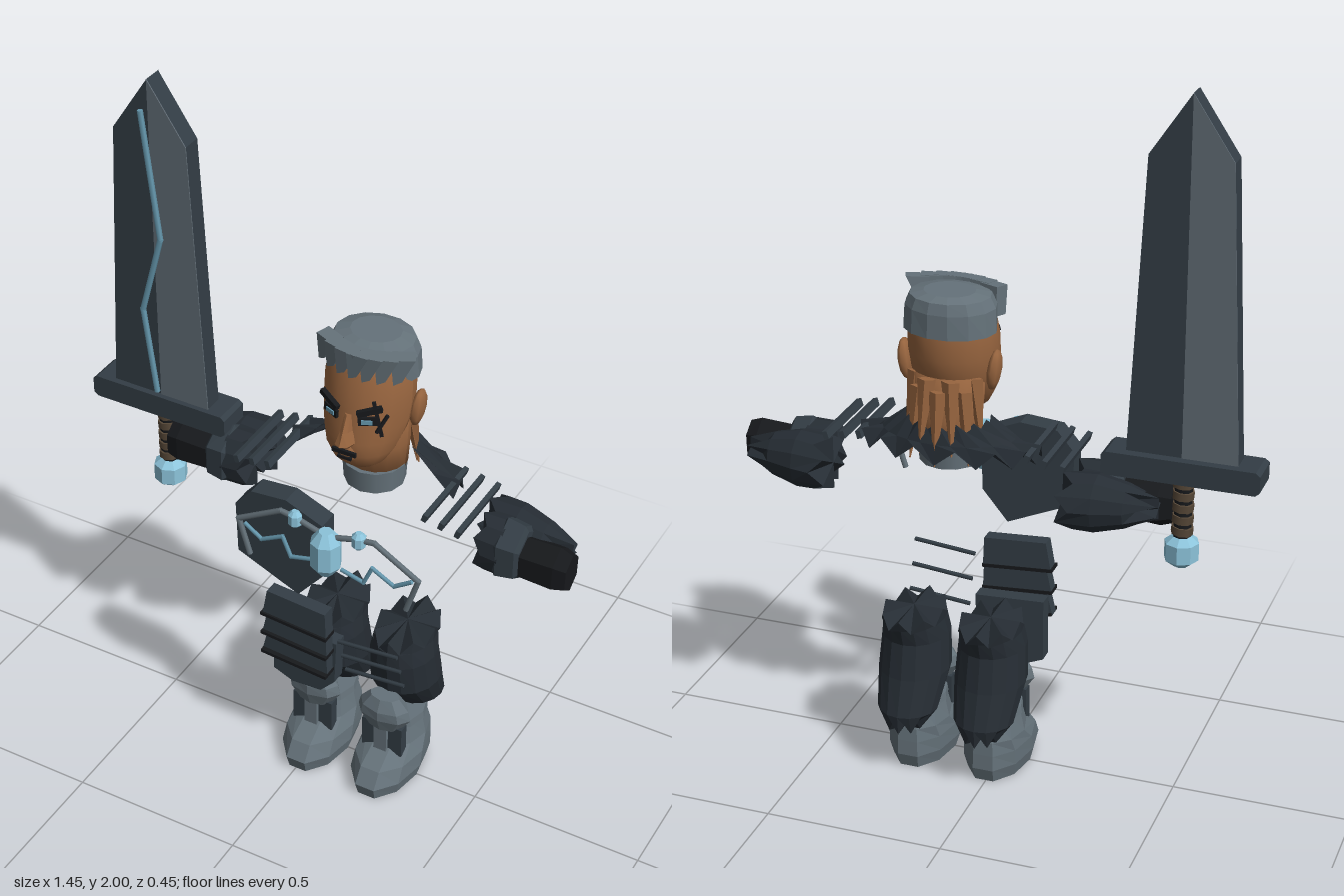
import * as THREE from 'three';

const mat = (name, color, side = THREE.FrontSide) => {
  const m = new THREE.MeshStandardMaterial({ color, side });
  m.name = name;
  return m;
};
const MID = 0.117; // body axis: the sword arm shifts the figure off centre

// Stack of elliptical rings [y, cx, cz, rx, rz, jag], listed bottom to top
function loft(rings, n = 8, { smooth = false, caps = true, from = 0, arc = Math.PI * 2 } = {}) {
  const pos = [], idx = [], w = n + 1;
  rings.forEach(([y, cx, cz, rx, rz, jag = 0]) => {
    for (let j = 0; j <= n; j++) {
      const k = arc > 6.28 ? j % n : j, a = from + arc * k / n;
      pos.push(cx + rx * Math.cos(a), y + (k % 2 ? jag : 0), cz + rz * Math.sin(a));
    }
  });
  for (let i = 0; i < rings.length - 1; i++) {
    for (let j = 0; j < n; j++) {
      const a = i * w + j, d = a + w;
      idx.push(a, d, d + 1, a, d + 1, a + 1);
    }
  }
  if (caps) {
    [[0, 0], [rings.length - 1, 1]].forEach(([i, top]) => {
      const c = pos.length / 3;
      pos.push(rings[i][1], rings[i][0], rings[i][2]);
      for (let j = 0; j < n; j++) {
        const a = i * w + j;
        if (top) idx.push(c, a + 1, a); else idx.push(c, a, a + 1);
      }
    });
  }
  let g = new THREE.BufferGeometry();
  g.setAttribute('position', new THREE.Float32BufferAttribute(pos, 3));
  g.setIndex(idx);
  if (!smooth) g = g.toNonIndexed();
  g.computeVertexNormals();
  return g;
}

function plate(points, z0, z1) {
  const g = new THREE.ExtrudeGeometry(new THREE.Shape(points.map(p => new THREE.Vector2(...p))),
    { depth: z1 - z0, bevelEnabled: false });
  return g.translate(0, 0, z0);
}

export function createModel() {
  const root = new THREE.Group();
  root.name = 'armouredWarrior';
  const cloth = mat('dark cloth', 0x262d34, THREE.DoubleSide);
  const plateDark = mat('dark plate', 0x333d45);
  const steel = mat('grey steel', 0x65727a);
  const bladeLight = mat('light blade face', 0x606b74);
  const skin = mat('skin', 0x98653f);
  const crystal = mat('blue crystal', 0x8cc3da);
  const trim = mat('blue trim', 0x6698ae);
  const black = mat('black', 0x17191c);
  const wrap = mat('brown grip', 0x574838);

  const add = (name, geo, m, x = 0, y = 0, z = 0, rx = 0, ry = 0, rz = 0) => {
    const o = new THREE.Mesh(geo, m);
    o.name = name;
    o.position.set(x, y, z);
    o.rotation.set(rx, ry, rz);
    root.add(o);
    return o;
  };
  const box = (w, h, d) => new THREE.BoxGeometry(w, h, d);
  const rods = (name, pts, r, m) => {
    for (let i = 0; i < pts.length - 1; i++) {
      const a = new THREE.Vector3(...pts[i]), b = new THREE.Vector3(...pts[i + 1]);
      const o = add(name, new THREE.CylinderGeometry(r, r, a.distanceTo(b) + r, 6), m);
      o.position.copy(a).lerp(b, 0.5);
      o.quaternion.setFromUnitVectors(new THREE.Vector3(0, 1, 0), b.sub(a).normalize());
    }
  };
  const gem = (name, x, y, z, r, h) => add(name, loft([[-h, 0, 0, r * 0.45, r * 0.45],
    [-h * 0.55, 0, 0, r, r], [h * 0.55, 0, 0, r, r], [h, 0, 0, r * 0.45, r * 0.45]]), crystal, x, y, z);

  // Sword: two blade halves, with a light face on opposite sides
  const SX = -0.513, SZ = -0.045;
  const half = s => [[SX, 1.03], [SX + s * 0.15, 1.03], [SX + s * 0.11, 1.835], [SX, 2]];
  add('bladeRight', plate(half(-1), -0.072, -0.018), plateDark);
  add('bladeLeft', plate(half(1), -0.072, -0.018), plateDark);
  add('bladeFrontFace', plate(half(1), -0.018, -0.015), bladeLight);
  add('bladeBackFace', plate(half(-1), -0.075, -0.072), bladeLight);
  rods('bladeRune', [[-0.523, 1.915, 0.003], [-0.48, 1.55, 0.003], [-0.545, 1.315, 0.003],
    [-0.513, 1.06, 0.003]], 0.008, trim);
  add('swordGuard', plate([[-0.727, 0.98], [-0.715, 0.97], [-0.315, 0.97], [-0.303, 0.98],
    [-0.303, 1.025], [-0.315, 1.035], [-0.715, 1.035], [-0.727, 1.025]], -0.1, 0), plateDark);
  add('swordGrip', new THREE.CylinderGeometry(0.025, 0.025, 0.18, 8), black, SX, 0.885, SZ);
  for (let i = 0; i < 5; i++) {
    add('gripBand', new THREE.CylinderGeometry(0.03, 0.03, 0.022, 8), wrap, SX, 0.82 + i * 0.034, SZ, 0, 0, 0.1);
  }
  gem('swordPommel', SX, 0.76, SZ, 0.047, 0.045);

  // Head and neck
  const ring = (y, hw, zf, zb, jag) => [y, MID, (zf + zb) / 2, hw, (zf - zb) / 2, jag];
  add('head', loft([ring(1.065, 0.05, 0.045, -0.03), ring(1.085, 0.075, 0.065, -0.06),
    ring(1.12, 0.095, 0.08, -0.1), ring(1.16, 0.108, 0.08, -0.14), ring(1.2, 0.118, 0.074, -0.16),
    ring(1.25, 0.122, 0.068, -0.17), ring(1.3, 0.122, 0.06, -0.17), ring(1.35, 0.115, 0.045, -0.165),
    ring(1.39, 0.1, 0.03, -0.15)], 20, { smooth: true }), skin);
  add('neck', loft([ring(1.0, 0.085, -0.01, -0.175), ring(1.08, 0.09, -0.012, -0.178),
    ring(1.2, 0.1, 0, -0.168)], 16, { smooth: true }), skin);
  add('nose', loft([ring(1.148, 0.014, 0.09, 0.05), ring(1.166, 0.026, 0.116, 0.04),
    ring(1.2, 0.016, 0.098, 0.04), ring(1.245, 0.012, 0.075, 0.04)], 8), skin);
  add('lips', loft([ring(1.11, 0.03, 0.084, 0.03), ring(1.13, 0.035, 0.089, 0.03),
    ring(1.15, 0.03, 0.082, 0.03)], 10), skin);
  add('mouth', box(0.07, 0.012, 0.008), black, MID, 1.136, 0.088);
  add('chinShadow', box(0.04, 0.008, 0.008), black, MID, 1.117, 0.085);
  for (const s of [-1, 1]) {
    add('ear', new THREE.SphereGeometry(1, 8, 6).scale(0.018, 0.058, 0.035), skin,
      MID + s * 0.124, 1.215, -0.085, 0, 0, -s * 0.12);
    add('brow', box(0.068, 0.015, 0.014), black, MID + s * 0.058, 1.267, 0.06, 0, s * 0.4, s * 0.32);
    add('eyeSocket', box(0.05, 0.024, 0.008), black, MID + s * 0.053, 1.236, 0.061, 0, s * 0.4, s * 0.1);
    add('eye', box(0.03, 0.012, 0.008), trim, MID + s * 0.053, 1.235, 0.065, 0, s * 0.4, 0);
  }
  add('eyeScar', box(0.01, 0.11, 0.008), black, MID + 0.078, 1.245, 0.052, 0, 0.6, 0.2);
  add('eyeScar', box(0.008, 0.06, 0.008), black, MID + 0.088, 1.23, 0.047, 0, 0.6, -0.5);
  // Ragged skin at the nape
  for (let i = 0; i < 7; i++) {
    const a = Math.PI * (1.12 + i * 0.127);
    add('napeSpike', loft([[-0.1, Math.cos(a) * 0.03, Math.sin(a) * 0.03, 0.002, 0.002],
      [0.1, 0, 0, 0.026, 0.014]], 4), skin, MID + Math.cos(a) * 0.085, 1.1 - (i % 2) * 0.03, -0.09 + Math.sin(a) * 0.085);
  }
  add('neckRing', new THREE.CylinderGeometry(0.088, 0.084, 0.065, 12), steel, MID, 0.98, -0.085);

  // Cropped hair with a swept fringe
  add('hairCap', loft([ring(1.315, 0.127, 0.02, -0.178), ring(1.38, 0.124, 0.03, -0.176),
    ring(1.41, 0.11, 0.02, -0.168), ring(1.42, 0.07, -0.02, -0.14)], 14), steel);
  for (let i = 0; i < 7; i++) {
    const t = i / 6 * 2 - 1;
    add('fringeTuft', plate([[-0.028, 0.035], [-0.016, -0.045], [0.006, -0.03], [0.034, 0.042]], -0.02, 0.02),
      steel, MID + t * 0.105 + 0.008, 1.382, 0.03 - t * t * 0.035, 0.08, t * 0.4, -0.1);
  }

  // Torn collar, open at the front
  add('tornCollar', loft([[0.975, MID, -0.09, 0.255, 0.12, 0.045], [1.03, MID, -0.095, 0.185, 0.105],
    [1.085, MID, -0.1, 0.115, 0.085, -0.02]], 16,
  { caps: false, from: -Math.PI - 0.25, arc: Math.PI + 0.5 }), cloth);

  // Shoulder straps and arms
  for (const s of [-1, 1]) {
    [0.235, 0.283, 0.331].forEach((d, i) =>
      add('shoulderStrap', box(0.014, 0.022, 0.24), plateDark, MID + s * d, 1.005 - i * 0.008, -0.035, 0, 0, -s * 0.3));
    // arm sections run outward from the body
    const limb = (name, rings, m, n = 6) => {
      const g = loft(rings.map(([d, cz, ry, rz, jag]) => [d, 0, cz, ry, rz, jag]), n);
      add(name, g.rotateZ(-s * Math.PI / 2), m, MID, 0.895);
    };
    limb('tornSleeve', [[0.325, -0.12, 0.075, 0.085, 0.04], [0.42, -0.115, 0.08, 0.08],
      [0.5, -0.11, 0.06, 0.06], [0.58, -0.1, 0.03, 0.03, -0.05]], cloth, 12);
    limb('bracer', [[0.345, -0.045, 0.085, 0.07, 0.025], [0.42, -0.045, 0.085, 0.075]], cloth, 12);
    limb('bracerCuff', [[0.405, -0.045, 0.08, 0.075], [0.415, -0.045, 0.095, 0.085],
      [0.465, -0.045, 0.085, 0.078], [0.475, -0.045, 0.07, 0.065]], plateDark);
    add('fist', loft([[0.46, 0, -0.04, 0.062, 0.06], [0.57, 0, -0.037, 0.07, 0.056],
      [0.605, 0, -0.035, 0.058, 0.045]], 6).rotateZ(-s * (Math.PI / 2 + 0.02)), black, MID, 0.898);
  }

  // Chest: one surviving plate, crystal and rune lines
  add('chestPlate', plate([[-0.165, 0.918], [-0.16, 0.76], [0.026, 0.68], [0.1, 0.77], [0.1, 0.94],
    [-0.01, 0.985], [-0.116, 0.975]], 0.11, 0.172), plateDark);
  gem('chestCrystal', MID, 0.87, 0.183, 0.043, 0.07);
  for (const s of [-1, 1]) {
    gem('smallCrystal', MID + s * 0.095, 0.942, 0.178, 0.02, 0.026);
    const path = pts => pts.map(([d, y]) => [MID + s * d, y, 0.177]);
    rods('chestRim', path([[0.03, 0.925], [0.09, 0.943], [0.14, 0.95], [0.27, 0.875], [0.238, 0.77]]), 0.008, steel);
    rods('chestRune', path([[0.045, 0.823], [0.11, 0.806], [0.135, 0.865], [0.2, 0.83], [0.25, 0.865]]), 0.006, trim);
  }

  // Hip armour: overlapping plates on one side, bare rims on the other
  for (let i = 0; i < 3; i++) {
    const y = 0.63 - i * 0.068;
    add('hipPlate', plate([[-0.1 - i * 0.003, y - 0.085], [0.1, y - 0.1], [0.096, y - 0.012], [-0.085, y]],
      0.112, 0.152 - i * 0.004), plateDark);
    add('hipPlateRim', plate([[-0.104, y - 0.088], [0.102, y - 0.103], [0.102, y - 0.093], [-0.104, y - 0.078]],
      0.11, 0.158), black);
    rods('hipRim', [[0.14, y - 0.087, 0.15 - i * 0.022], [0.315, y - 0.07, 0.15 - i * 0.022]], 0.006, plateDark);
  }
  add('thighPlate', plate([[-0.1, 0.3], [-0.04, 0.275], [0.05, 0.28], [0.095, 0.33], [0.1, 0.47], [-0.1, 0.48]],
    0.05, 0.094), plateDark);

  // Legs
  for (const s of [-1, 1]) {
    const x = MID + s * 0.112;
    add('trouserLeg', loft([[0.145, 0, -0.17, 0.045, 0.05, 0.03], [0.2, 0, -0.14, 0.085, 0.085],
      [0.3, 0, -0.083, 0.1, 0.11], [0.4, 0, -0.067, 0.094, 0.106], [0.45, 0, -0.075, 0.085, 0.112],
      [0.485, 0, -0.085, 0.085, 0.118, -0.035]], 16), cloth, x);
    add('kneeGuard', loft([[0.195, 0, 0.045, 0.05, 0.03], [0.24, 0, 0.045, 0.082, 0.045],
      [0.27, 0, 0.045, 0.075, 0.045], [0.305, 0, 0.045, 0.045, 0.028]], 8), steel, x);
    add('shinPlate', box(0.125, 0.1, 0.03), plateDark, x, 0.155, 0.045);
    add('shinStrip', box(0.04, 0.1, 0.012), steel, x, 0.155, 0.065);
    const sole = (y, hw, zf, zb) => [y, 0, (zf + zb) / 2, hw, (zf - zb) / 2];
    add('boot', loft([sole(0, 0.085, 0.155, -0.15), sole(0.04, 0.095, 0.167, -0.163),
      sole(0.085, 0.094, 0.135, -0.16), sole(0.125, 0.085, 0.06, -0.155),
      sole(0.19, 0.072, 0.035, -0.13)], 10), steel, x);
    add('bootStrap', loft([sole(0.178, 0.078, 0.042, -0.137), sole(0.2, 0.075, 0.038, -0.133)], 10), steel, x);
  }
  return root;
}
